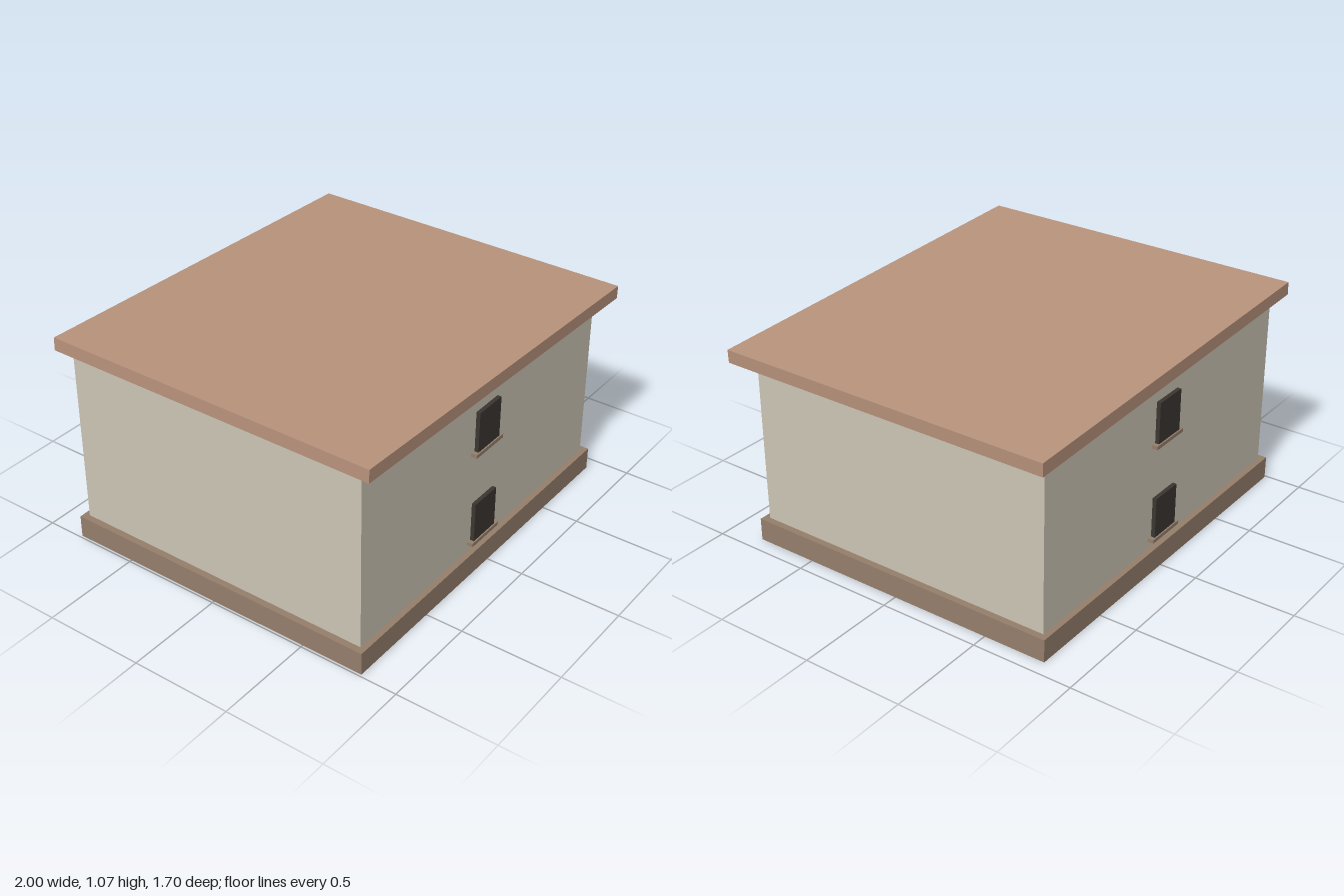
import * as THREE from 'three';

const material = (color) => new THREE.MeshStandardMaterial({ color });
const wallMat = material(0xcdc6b6);
const stoneMat = material(0x957f6c);
const roofMat = material(0xb8937c);
const windowMat = material(0x3b3631);

// Box given by its low and high corners
function box(name, mat, [x0, y0, z0], [x1, y1, z1]) {
  const mesh = new THREE.Mesh(new THREE.BoxGeometry(x1 - x0, y1 - y0, z1 - z0), mat);
  mesh.position.set((x0 + x1) / 2, (y0 + y1) / 2, (z0 + z1) / 2);
  mesh.name = name;
  return mesh;
}

// Dark pane above a projecting sill, on the front wall
function createWindow(sillY, height) {
  const group = new THREE.Group();
  group.name = 'window';
  group.add(
    box('windowPane', windowMat, [-0.118, sillY + 0.018, 0.788], [0.053, sillY + height, 0.808]),
    box('windowSill', stoneMat, [-0.14, sillY, 0.784], [0.075, sillY + 0.018, 0.815]),
  );
  return group;
}

export function createModel() {
  const house = new THREE.Group();
  house.name = 'house';

  // Plinth and wall core
  house.add(
    box('plinth', stoneMat, [-0.988, 0, -0.814], [0.923, 0.113, 0.814]),
    box('walls', wallMat, [-0.955, 0.02, -0.778], [0.89, 0.97, 0.778]),
  );

  // Front and back faces: thin wall panel with two windows one above the other
  for (const side of ['front', 'back']) {
    const facade = new THREE.Group();
    facade.name = side + 'Facade';
    facade.add(
      box('wallPanel', wallMat, [-0.955, 0.1, 0.778], [0.89, 0.97, 0.785]),
      createWindow(0.636, 0.222),
      createWindow(0.152, 0.22),
    );
    if (side === 'back') {
      // turn about the middle of the house, which is off centre in x
      facade.rotation.y = Math.PI;
      facade.position.x = -0.065;
    }
    house.add(facade);
  }

  // Gently sloping slab roof, high at -x
  const roof = box('roof', roofMat, [-0.998, 0.976, -0.852], [0.998, 1.04, 0.852]);
  roof.rotation.z = -0.031;
  house.add(roof);

  return house;
}
